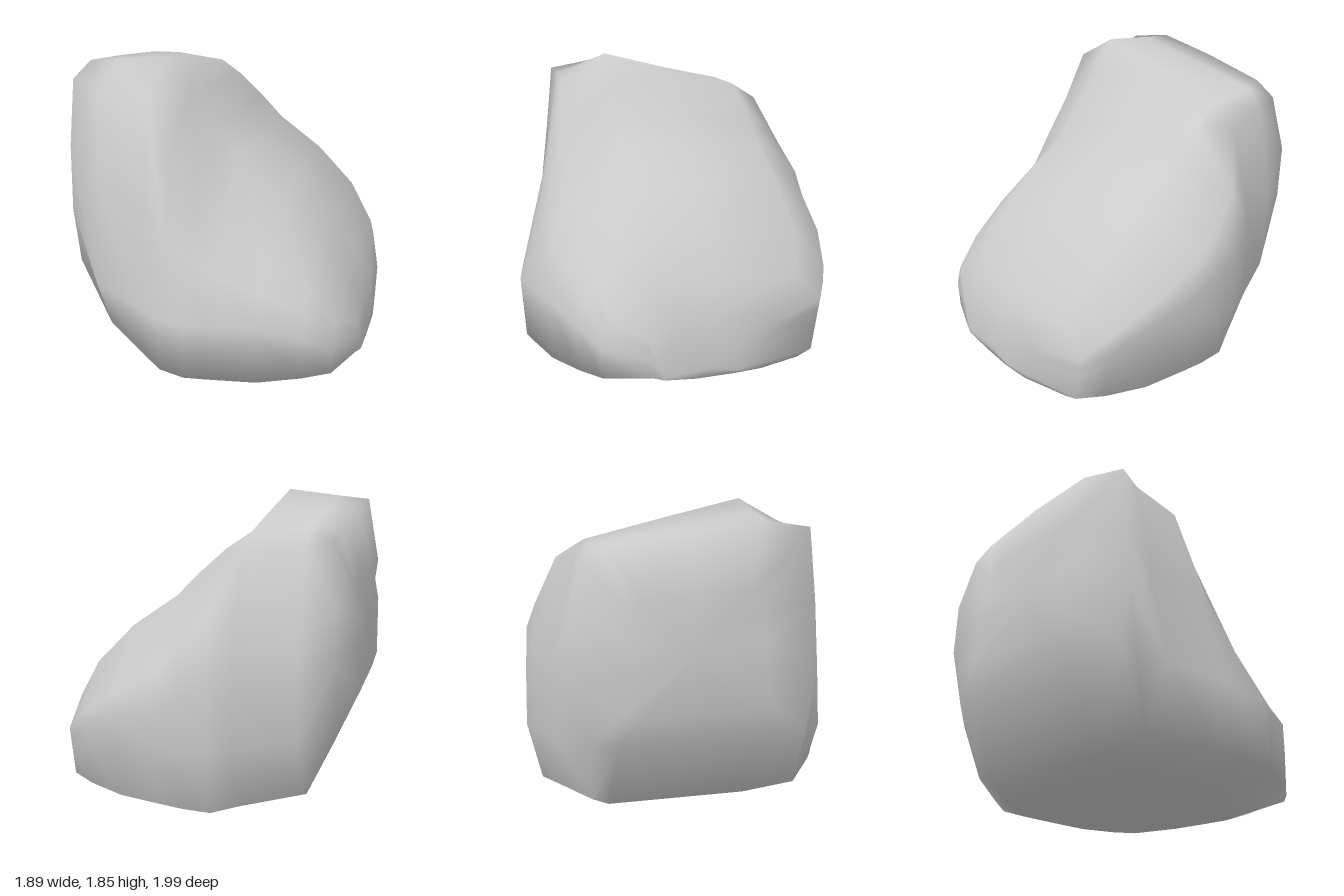
import * as THREE from 'three';

// Piecewise linear lookup through [input, output] pairs
function lookup(table, v) {
  for (let i = 1; i < table.length; i++) {
    const [a, p] = table[i - 1], [b, q] = table[i];
    if (v <= b || i === table.length - 1) {
      return p + (q - p) * THREE.MathUtils.clamp((v - a) / (b - a), 0, 1);
    }
  }
}

// How far the front and back faces reach at each height
const frontReach = [[0.05, 0.97], [0.45, 1], [1, 0.84], [1.68, 0.65], [1.8, 0.61]];
const backReach = [[0.05, 0.91], [0.45, 1], [1.07, 0.96], [1.52, 0.79], [1.67, 0.62]];

// Sections across the rock: x, bottom, top, front width, back width, foot scale, squareness at the
// top, drops from the top to the front shoulder, rear edge and back shoulder, front shoulder scale
const sections = [
  [-0.945, 0.71, 1.4, 0.44, 0.45, 1, 0, 0.12, 0, 0.1, 1],
  [-0.86, 0.5, 1.79, 0.73, 0.7, 0.88, 1, 0.05, 0.12, 0.2, 1],
  [-0.67, 0.06, 1.81, 0.79, 0.8, 0.84, 0.8, 0.1, 0.15, 0.25, 1],
  [-0.33, 0.03, 1.85, 0.92, 0.95, 0.97, 1, 0.17, 0.22, 0.32, 1],
  [-0.19, 0, 1.64, 0.97, 1, 1, 0.3, 0.26, 0.1, 0.43, 0.94],
  [-0.02, 0, 1.44, 1, 1, 1, 0, 0.32, 0.05, 0.42, 0.85],
  [0.12, 0, 1.27, 0.97, 0.98, 1, 0, 0.33, 0.02, 0.4, 0.8],
  [0.41, 0, 1.06, 0.9, 0.93, 1, 0, 0.3, 0.01, 0.36, 0.8],
  [0.66, 0.01, 0.81, 0.78, 0.83, 1, 0, 0.24, 0.01, 0.27, 0.84],
  [0.82, 0.02, 0.56, 0.68, 0.73, 1, 0, 0.17, 0.01, 0.18, 0.9],
  [0.92, 0.03, 0.39, 0.42, 0.36, 1, 0, 0.1, 0, 0.1, 1],
  [0.943, 0.035, 0.12, 0.34, 0.14, 1, 0, 0.03, 0, 0.03, 1],
];

// One closed section, running up the front, over the top, down the back and under
function sectionRing([x, bottom, top, front, back, base, square, frontDrop, rearDrop, backDrop, bevel]) {
  const span = top - bottom;
  const widen = (w, y) => THREE.MathUtils.lerp(w, 1, square * Math.min(1, (y / 1.8) ** 2));
  const f = (y, scale = 1) => [x, y, lookup(frontReach, y) * widen(front, y) * scale];
  const b = (y, scale = 1) => [x, y, -lookup(backReach, y) * widen(back, y) * scale];
  const foot = bottom + Math.min(0.04, 0.2 * span);
  const belly = bottom + Math.min(0.42, 0.4 * span);
  const frontShoulder = top - frontDrop;
  const backShoulder = top - backDrop;
  const ridge = Math.min(0.34, 0.6 * front);
  const rear = Math.min(0.6, 0.75 * back);
  const ring = [
    f(foot, base), f(belly), f((belly + frontShoulder) / 2, (1 + bevel) / 2), f(frontShoulder, bevel),
    [x, top, ridge],
    [x, top - 0.45 * rearDrop, -0.1 * back],
    [x, top - rearDrop, -rear],
    b(backShoulder), b((belly + backShoulder) / 2), b(belly), b(foot, base),
    [x, bottom, -0.78 * back * base], [x, bottom, 0.4 * front],
  ];
  // The tall side's upper corners lean inward
  if (x < -0.8) for (const j of [3, 6, 7]) ring[j][0] += 0.035;
  return ring;
}

function rockGeometry() {
  const rings = sections.map(sectionRing);
  const n = rings[0].length;
  const points = rings.flat();
  const index = [];
  // Skin between neighbouring sections
  for (let i = 0; i < rings.length - 1; i++) {
    for (let j = 0; j < n; j++) {
      const a = i * n + j, b = i * n + (j + 1) % n;
      index.push(a, a + n, b, b, a + n, b + n);
    }
  }
  // Closed ends
  for (const end of [0, rings.length - 1]) {
    const centre = points.length;
    points.push([0, 1, 2].map((k) => rings[end].reduce((s, p) => s + p[k], 0) / n));
    for (let j = 0; j < n; j++) {
      const a = end * n + j, b = end * n + (j + 1) % n;
      if (end === 0) index.push(centre, a, b);
      else index.push(centre, b, a);
    }
  }
  const geometry = new THREE.BufferGeometry();
  geometry.setAttribute('position', new THREE.Float32BufferAttribute(points.flat(), 3));
  geometry.setIndex(index);
  geometry.computeVertexNormals();
  return geometry;
}

export function createModel() {
  const group = new THREE.Group();
  group.name = 'boulder';
  const rock = new THREE.Mesh(rockGeometry(), new THREE.MeshStandardMaterial({ color: 0xcccccc }));
  rock.name = 'rock';
  group.add(rock);
  return group;
}
